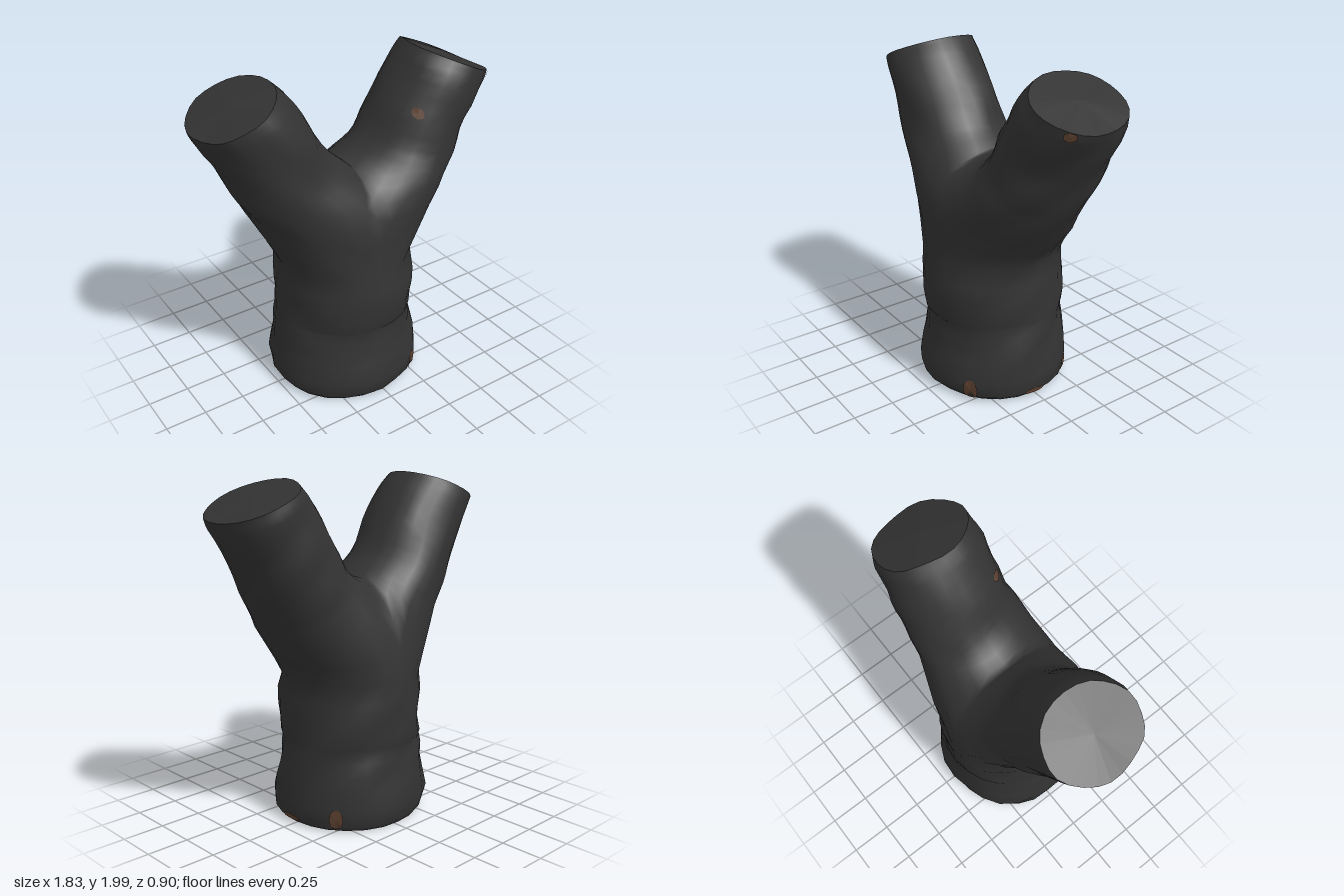
import * as THREE from 'three';
import { mergeGeometries, mergeVertices } from 'three/addons/utils/BufferGeometryUtils.js';

const N = 24; // points around each ring
const V = (x, y, z) => new THREE.Vector3(x, y, z);
const angle = (j) => (j / N) * Math.PI * 2;

// rough bark lumps that depend only on position, so seams stay closed
function lump(p) {
  const { x, y, z } = p;
  const n1 = Math.sin(9 * y + 5 * z + 1) * Math.sin(7 * z - 4 * x) + 0.5 * Math.sin(21 * y + 16 * z);
  const n2 = Math.sin(8 * y - 6 * x) * Math.sin(6 * x + 3 * y + 2) + 0.5 * Math.sin(19 * y + 18 * x + 2);
  const k = y < 0.02 ? 0.005 : 0.01;
  return V(x + n1 * k, y, z + n2 * k);
}

// skin over a list of rings
function skin(rings, flip = false) {
  const pos = rings.flat().flatMap((p) => [p.x, p.y, p.z]);
  const index = [];
  for (let i = 0; i < rings.length - 1; i++) {
    for (let j = 0; j < N; j++) {
      const a = i * N + j, b = i * N + ((j + 1) % N), c = a + N, d = b + N;
      if (flip) index.push(a, b, c, b, d, c);
      else index.push(a, c, b, b, c, d);
    }
  }
  const g = new THREE.BufferGeometry();
  g.setAttribute('position', new THREE.Float32BufferAttribute(pos, 3));
  g.setIndex(index);
  return g;
}

// fan of triangles from a centre to a loop of points
function fan(points, centre, flip) {
  const pos = points.flatMap((p, j) => {
    const q = points[(j + 1) % points.length];
    return (flip ? [centre, p, q] : [centre, q, p]).flatMap((v) => [v.x, v.y, v.z]);
  });
  const g = new THREE.BufferGeometry();
  g.setAttribute('position', new THREE.Float32BufferAttribute(pos, 3));
  g.computeVertexNormals();
  return g;
}
const middle = (points) => points.reduce((s, p) => s.add(p), V(0, 0, 0)).divideScalar(points.length);

// trunk rings: height, half width, half depth, x centre
const TRUNK = [
  [0, 0.43, 0.41, -0.03], [0.03, 0.458, 0.435, -0.025], [0.12, 0.465, 0.452, -0.03],
  [0.24, 0.445, 0.43, -0.025], [0.32, 0.432, 0.415, -0.027], [0.4, 0.422, 0.412, -0.03],
  [0.455, 0.412, 0.4, -0.03], [0.48, 0.412, 0.418, -0.028], [0.56, 0.413, 0.423, -0.025],
  [0.64, 0.416, 0.428, -0.025], [0.74, 0.414, 0.428, -0.028], [0.85, 0.405, 0.412, -0.03],
];
function trunkRing([y, w, d, cx]) {
  return Array.from({ length: N }, (_, j) => {
    const a = angle(j);
    return V(cx + w * Math.cos(a), y, d * Math.sin(a));
  });
}

// branch rings: outer x, y, inner x, y, half depth
const BRANCH = [
  [0.575, 1.15, 0.065, 1.45, 0.335], [0.7, 1.35, 0.16, 1.535, 0.312],
  [0.78, 1.53, 0.262, 1.73, 0.3], [0.895, 1.73, 0.39, 1.915, 0.288], [0.918, 1.785, 0.465, 1.99, 0.275],
];
function branchRings(side) {
  const [y0, w, d, cx] = TRUNK.at(-1);
  const drift = side > 0 ? -0.035 : -0.012;
  // the first ring follows the trunk outside and the crotch inside
  const first = trunkRing([y0, w, d, cx * side]).map((p, j) => {
    const c = Math.cos(angle(j));
    return c > -1e-6 ? p : V(cx * side, y0 + 0.57 * Math.abs(c) ** 0.75, p.z);
  });
  const keys = [first, ...BRANCH.map(([ox, oy, ix, iy, dz]) =>
    Array.from({ length: N }, (_, j) => {
      const c = Math.cos(angle(j)), s = Math.sin(angle(j));
      return V((ox + ix) / 2 + (c * (ox - ix)) / 2, (oy + iy) / 2 + (c * (oy - iy)) / 2, dz * s + drift * (iy - 1.42));
    }))];
  const steps = 15;
  const lines = first.map((_, j) => new THREE.CatmullRomCurve3(keys.map((k) => k[j])));
  return Array.from({ length: steps + 1 }, (_, i) =>
    lines.map((l) => {
      const p = l.getPoint(i / steps);
      return lump(V(p.x * side, p.y, p.z));
    }));
}

// bare patches: centre x, y, z, heading, half width, half height
const PATCHES = [
  [0.235, 0.075, 0.34, 0.6, 0.046, 0.07], [0.3, 0.08, -0.24, 2.2, 0.042, 0.062],
  [0.4, 0.04, 0.02, 1.57, 0.07, 0.018], [0.34, 1.68, 0.25, 0, 0.028, 0.03], [0.84, 1.79, 0.165, 0.9, 0.036, 0.028],
];

export function createModel() {
  const group = new THREE.Group();
  const bark = new THREE.MeshStandardMaterial({ color: 0x333333 });
  bark.name = 'charred bark';
  const wood = new THREE.MeshStandardMaterial({ color: 0x5c4030 });
  wood.name = 'bare wood';
  const add = (name, geo, mat) => {
    const m = new THREE.Mesh(geo, mat);
    m.name = name;
    group.add(m);
    return m;
  };

  // forked trunk as one smooth skin
  const trunk = TRUNK.map((r) => trunkRing(r).map(lump));
  const left = branchRings(1), right = branchRings(-1);
  const body = mergeVertices(mergeGeometries([skin(trunk), skin(left), skin(right, true)]), 1e-3);
  body.computeVertexNormals();
  const log = add('forkedTrunk', body, bark);

  // sawn ends
  add('trunkBase', fan(trunk[0], middle(trunk[0]), true), bark);
  add('leftBranchEnd', fan(left.at(-1), middle(left.at(-1)).add(V(0.005, 0.012, 0)), false), bark);
  add('rightBranchEnd', fan(right.at(-1), middle(right.at(-1)).add(V(-0.005, 0.012, 0)), true), bark);

  // bare patches laid on the skin by aiming at it from just outside
  const ray = new THREE.Raycaster();
  for (const [x, y, z, heading, w, h] of PATCHES) {
    const out = V(Math.sin(heading), 0, Math.cos(heading));
    const across = V(Math.cos(heading), 0, -Math.sin(heading));
    const onSkin = (u, v) => {
      const from = V(x, y + v, z).addScaledVector(across, u).addScaledVector(out, 0.3);
      ray.set(from, out.clone().negate());
      const s = ray.intersectObject(log)[0];
      return s && s.distance < 0.45 ? s.point.addScaledVector(out, 0.008) : null;
    };
    const rim = Array.from({ length: 10 }, (_, k) => {
      const a = (k / 10) * Math.PI * 2;
      return onSkin(w * Math.cos(a), h * Math.sin(a));
    }).filter(Boolean);
    add('barePatch', fan(rim, onSkin(0, 0) ?? middle(rim), true), wood);
  }
  return group;
}
